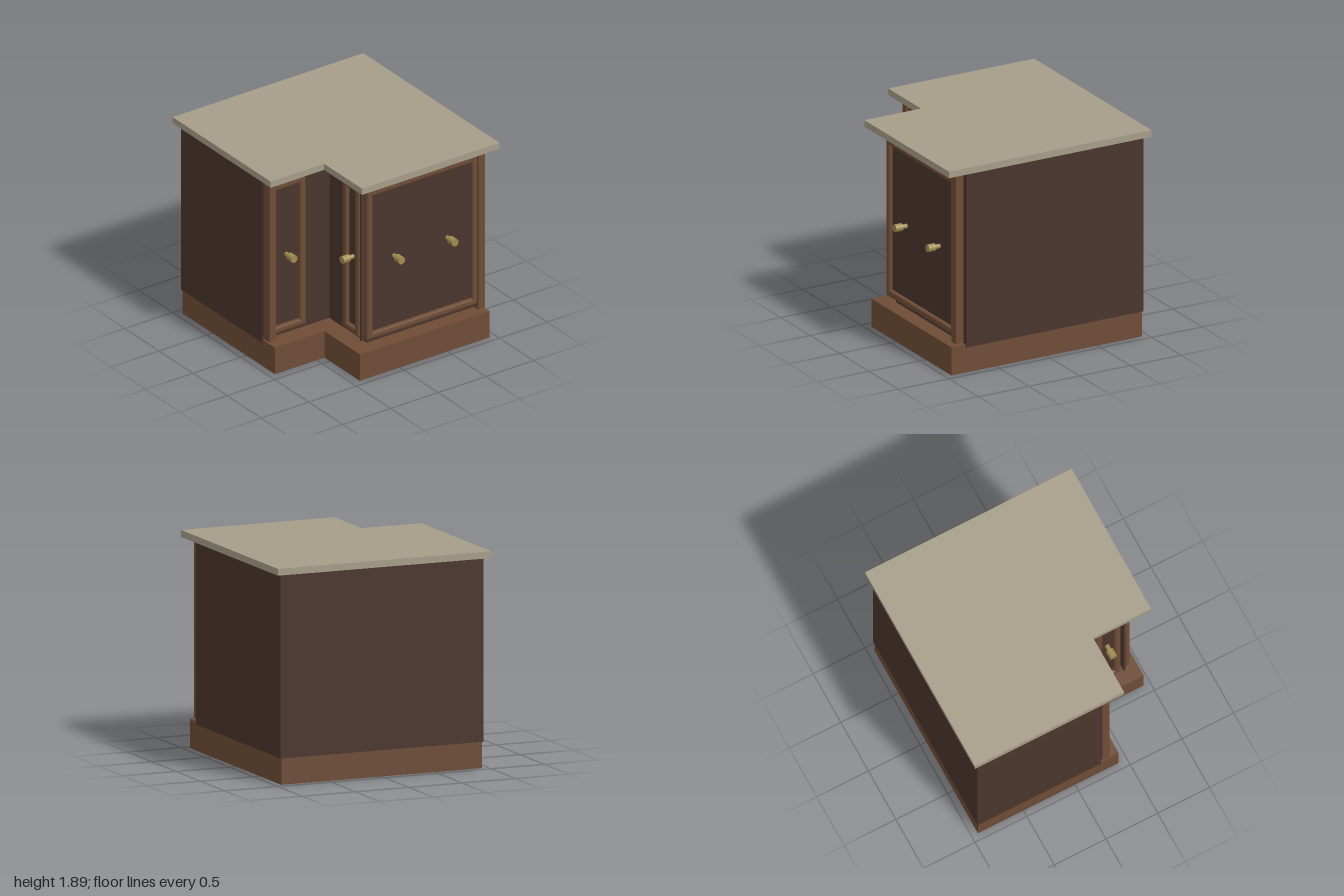
import * as THREE from 'three';

const wood = new THREE.MeshStandardMaterial({ color: 0x6e4c36 });
const darkWood = new THREE.MeshStandardMaterial({ color: 0x4a352d });
const stone = new THREE.MeshStandardMaterial({ color: 0xa69d88 });
const brass = new THREE.MeshStandardMaterial({ color: 0xa08a50 });

function add(parent, name, geometry, material, x = 0, y = 0, z = 0) {
  const mesh = new THREE.Mesh(geometry, material);
  mesh.name = name;
  mesh.position.set(x, y, z);
  parent.add(mesh);
  return mesh;
}

// Box given by its lower and upper limits
function block(parent, name, material, [x0, x1], [y0, y1], [z0, z1]) {
  return add(parent, name, new THREE.BoxGeometry(x1 - x0, y1 - y0, z1 - z0), material,
    (x0 + x1) / 2, (y0 + y1) / 2, (z0 + z1) / 2);
}

// L-shaped slab: full square with the front corner at -x cut away
function cornerSlab(parent, name, material, side, front, notchX, notchZ, y0, y1) {
  const outline = new THREE.Shape([
    [-side, -notchZ], [notchX, -notchZ], [notchX, -front],
    [side, -front], [side, side], [-side, side],
  ].map(([x, y]) => new THREE.Vector2(x, y)));
  const geometry = new THREE.ExtrudeGeometry(outline, { depth: y1 - y0, bevelEnabled: false });
  geometry.rotateX(-Math.PI / 2);
  return add(parent, name, geometry, material, 0, y0, 0);
}

function rectangle(PathType, x0, x1, y0, y1) {
  return new PathType([[x0, y0], [x1, y0], [x1, y1], [x0, y1]].map(([x, y]) => new THREE.Vector2(x, y)));
}

// Moulded rectangular frame with a softened front edge
function frameGeometry(x0, x1, y0, y1, width, depth) {
  const b = 0.015;
  const shape = rectangle(THREE.Shape, x0 + b, x1 - b, y0 + b, y1 - b);
  const w = width - b;
  shape.holes.push(rectangle(THREE.Path, x0 + w, x1 - w, y0 + w, y1 - w));
  const geometry = new THREE.ExtrudeGeometry(shape, {
    depth: depth - 2 * b, bevelSize: b, bevelThickness: b, bevelSegments: 2,
  });
  return geometry.translate(0, 0, b);
}

// Round pull: thin stem with a wider head
function knob(parent, x, y) {
  const group = new THREE.Group();
  group.name = 'knob';
  group.position.set(x, y, 0);
  const stem = new THREE.CylinderGeometry(0.02, 0.02, 0.06, 16).rotateX(Math.PI / 2);
  const head = new THREE.CylinderGeometry(0.034, 0.034, 0.072, 24).rotateX(Math.PI / 2);
  add(group, 'knobStem', stem, brass, 0, 0, 0.065);
  add(group, 'knobHead', head, brass, 0, 0, 0.126);
  parent.add(group);
}

// Door facing local +z: backing plate, moulded frame, recessed panel, knobs
function door(parent, name, x0, x1, knobs) {
  const group = new THREE.Group();
  group.name = name;
  const m = 0.025;
  block(group, 'doorPlate', darkWood, [x0, x1], [0.30, 1.78], [0, 0.015]);
  block(group, 'doorPanel', darkWood, [x0 + 0.05, x1 - 0.05], [0.35, 1.73], [0.015, 0.04]);
  add(group, 'doorFrame', frameGeometry(x0 + m, x1 - m, 0.32, 1.76, 0.06, 0.06), wood, 0, 0, 0.015);
  knobs.forEach((x) => knob(group, x, 1.04));
  parent.add(group);
  return group;
}

export function createModel() {
  const model = new THREE.Group();
  model.name = 'cornerCabinet';

  // Plinth, carcass and worktop share the L plan
  cornerSlab(model, 'plinth', wood, 0.94, 0.94, -0.42, 0.42, 0, 0.255);
  cornerSlab(model, 'carcass', darkWood, 0.95, 0.80, -0.245, 0.245, 0.23, 1.82);
  cornerSlab(model, 'worktop', stone, 1, 1, -0.44, 0.44, 1.83, 1.89);

  // Wide door on the front
  const wide = door(model, 'wideDoor', -0.32, 0.895, [0.005, 0.565]);
  wide.position.z = 0.80;
  block(wide, 'post', wood, [0.857, 0.926], [0.27, 1.80], [0.015, 0.09]);

  // Narrow door on the set-back arm
  const narrow = door(model, 'narrowDoor', -0.945, -0.515, [-0.727]);
  narrow.position.z = 0.245;
  block(narrow, 'post', wood, [-0.937, -0.868], [0.27, 1.80], [0.015, 0.09]);

  // Door on the inner side, facing -x
  const inner = door(model, 'innerDoor', 0.51, 0.80, [0.655]);
  inner.rotation.y = -Math.PI / 2;
  inner.position.x = -0.245;

  return model;
}
